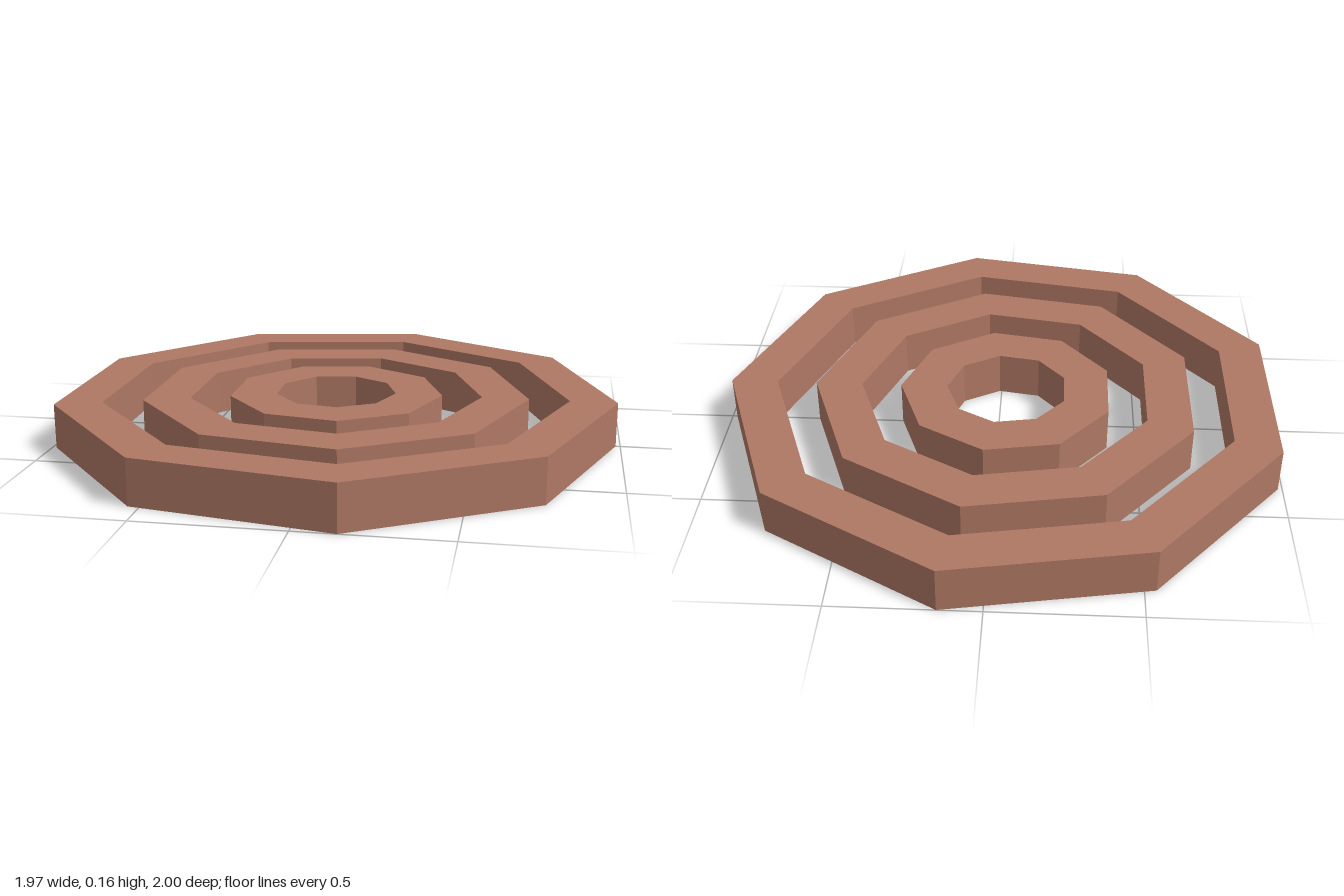
import * as THREE from 'three';

const SIDES = 9;
const HEIGHT = 0.16;
const CENTRE_X = -0.031; // a nine-sided ring reaches further on its pointed side

// Nine-sided ring with outer wall, top and inner wall, open underneath
function ringGeometry(outer, inner) {
  const profile = [
    new THREE.Vector2(outer, 0),
    new THREE.Vector2(outer, HEIGHT),
    new THREE.Vector2(inner, HEIGHT),
    new THREE.Vector2(inner, 0),
  ];
  const geometry = new THREE.LatheGeometry(profile, SIDES, Math.PI / 2).toNonIndexed();
  geometry.computeVertexNormals(); // flat facets
  return geometry;
}

export function createModel() {
  const model = new THREE.Group();
  model.name = 'concentricRings';

  const clay = new THREE.MeshStandardMaterial({ color: 0xaf7864, side: THREE.DoubleSide });
  clay.name = 'clay brown';

  // Three concentric rings: name, outer radius, inner radius
  const rings = [
    ['outerRing', 1.015, 0.846],
    ['middleRing', 0.702, 0.533],
    ['innerRing', 0.389, 0.22],
  ];
  for (const [name, outer, inner] of rings) {
    const ring = new THREE.Mesh(ringGeometry(outer, inner), clay);
    ring.name = name;
    ring.position.x = CENTRE_X;
    model.add(ring);
  }
  return model;
}
